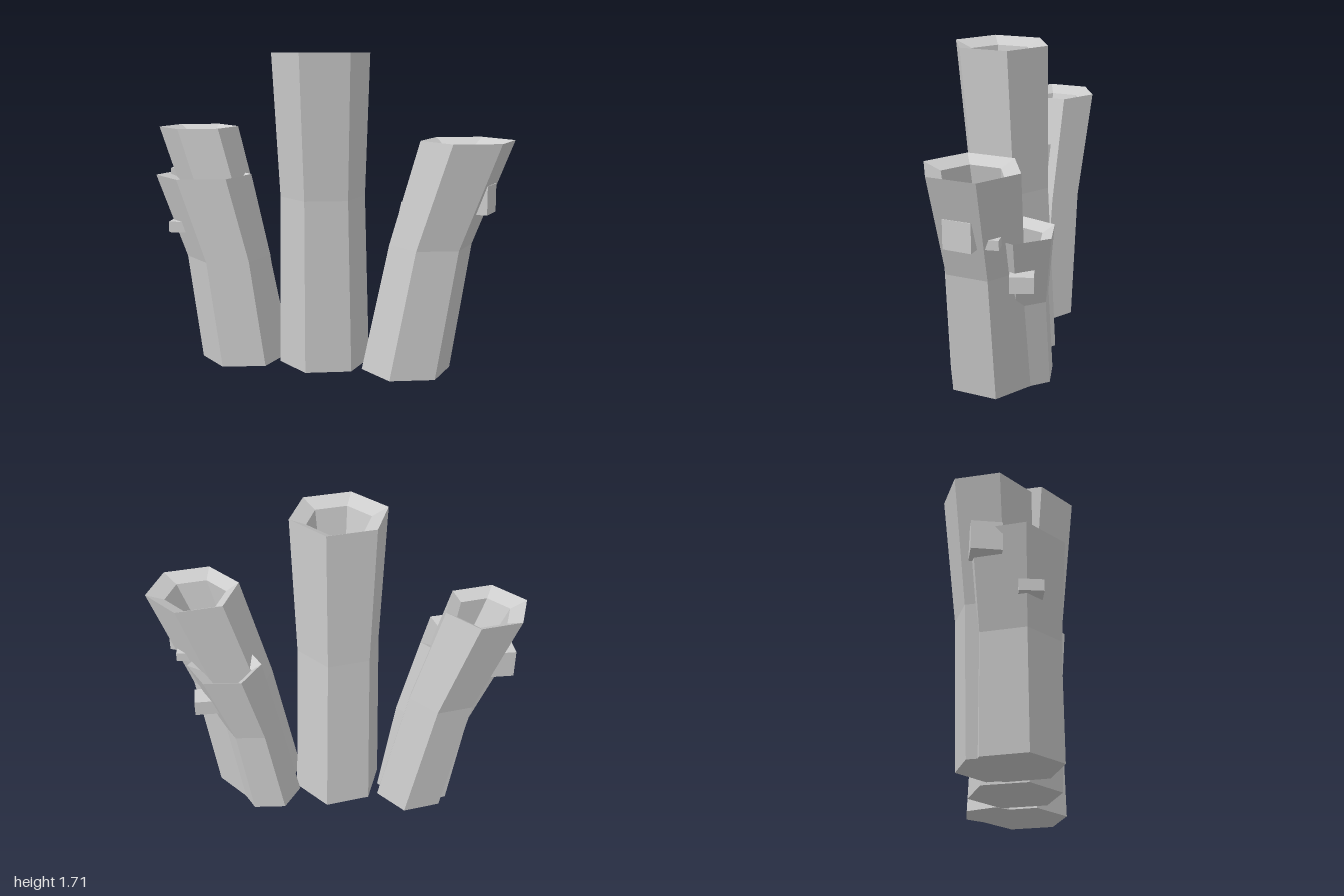
import * as THREE from 'three';

const SIDES = 6;

// Six-sided hollow tube lofted through level rings: [x, y, z, radius]
function tubeGeometry(rings, turn, depth = 0.24) {
  const top = rings[rings.length - 1], mid = rings[rings.length - 2];
  // point on the tube's axis, a given drop below the mouth
  const inside = (drop, radius) => {
    const t = drop / (top[1] - mid[1]);
    return [top[0] + (mid[0] - top[0]) * t, top[1] - drop, top[2] + (mid[2] - top[2]) * t, radius];
  };
  const base = rings[0];
  const loops = [
    [base[0], base[1], base[2], 0],            // bottom cap
    ...rings,                                  // outer wall
    inside(0.04, top[3] * 0.66),               // sloping lip
    inside(depth, top[3] * 0.56),              // inner wall
    inside(depth, 0),                          // floor of the hollow
  ];
  const pos = [], index = [];
  for (const [x, y, z, r] of loops) {
    for (let i = 0; i < SIDES; i++) {
      const a = THREE.MathUtils.degToRad(turn + i * 360 / SIDES);
      pos.push(x + r * Math.cos(a), y, z + r * Math.sin(a));
    }
  }
  for (let k = 0; k < loops.length - 1; k++) {
    for (let i = 0; i < SIDES; i++) {
      const a = k * SIDES + i, b = k * SIDES + (i + 1) % SIDES;
      const c = a + SIDES, d = b + SIDES;
      if (loops[k][3] > 0) index.push(a, d, b);
      if (loops[k + 1][3] > 0) index.push(a, c, d);
      else index.push(a, c, b);
    }
  }
  const indexed = new THREE.BufferGeometry();
  indexed.setAttribute('position', new THREE.Float32BufferAttribute(pos, 3));
  indexed.setIndex(index);
  const geometry = indexed.toNonIndexed();
  geometry.computeVertexNormals();             // faceted normals
  return geometry;
}

export function createModel() {
  const group = new THREE.Group();
  const grey = new THREE.MeshStandardMaterial({ color: 0xcccccc });
  grey.name = 'stone grey';

  const add = (name, geometry) => {
    const mesh = new THREE.Mesh(geometry, grey);
    mesh.name = name;
    group.add(mesh);
    return mesh;
  };

  // Tubes: base, bend and mouth rings
  const tubes = [
    ['centreTube', 42, [[-0.022, 0, 0, 0.25], [-0.024, 0.94, 0.035, 0.231], [-0.025, 1.71, 0.075, 0.263]]],
    ['leftFrontTube', 42.5, [[0.443, 0, 0.04, 0.243], [0.569, 0.7, 0.047, 0.223], [0.757, 1.26, 0.057, 0.251]]],
    ['leftBackTube', -4, [[0.37, 0, -0.12, 0.175], [0.46, 0.5, -0.12, 0.16], [0.585, 0.9, -0.13, 0.2]]],
    ['rightFrontTube', 44, [[-0.487, 0, 0.016, 0.236], [-0.575, 0.58, 0.01, 0.232], [-0.72, 1.035, 0, 0.266]]],
    ['rightBackTube', 42, [[-0.46, 0, -0.07, 0.21], [-0.605, 0.72, -0.09, 0.197], [-0.788, 1.295, -0.12, 0.223]]],
  ];
  for (const [name, turn, rings] of tubes) add(name, tubeGeometry(rings, turn));

  // Small square buds on the outer walls: centre, size, turn about y
  const buds = [
    ['leftFrontBud', [0.82, 0.962, 0.085], [0.14, 0.15, 0.15], -0.24],
    ['leftRearBud', [0.8, 0.915, -0.05], [0.1, 0.05, 0.08], 0],
    ['leftBackBud', [0.69, 0.68, -0.17], [0.13, 0.085, 0.12], 0.15],
    ['rightFrontBud', [-0.825, 0.755, 0.09], [0.11, 0.06, 0.12], 0.1],
    ['rightBackBud', [-0.885, 0.985, -0.12], [0.12, 0.15, 0.15], 0.15],
  ];
  for (const [name, at, size, turn] of buds) {
    const bud = add(name, new THREE.BoxGeometry(...size));
    bud.position.set(...at);
    bud.rotation.y = turn;
  }
  return group;
}
